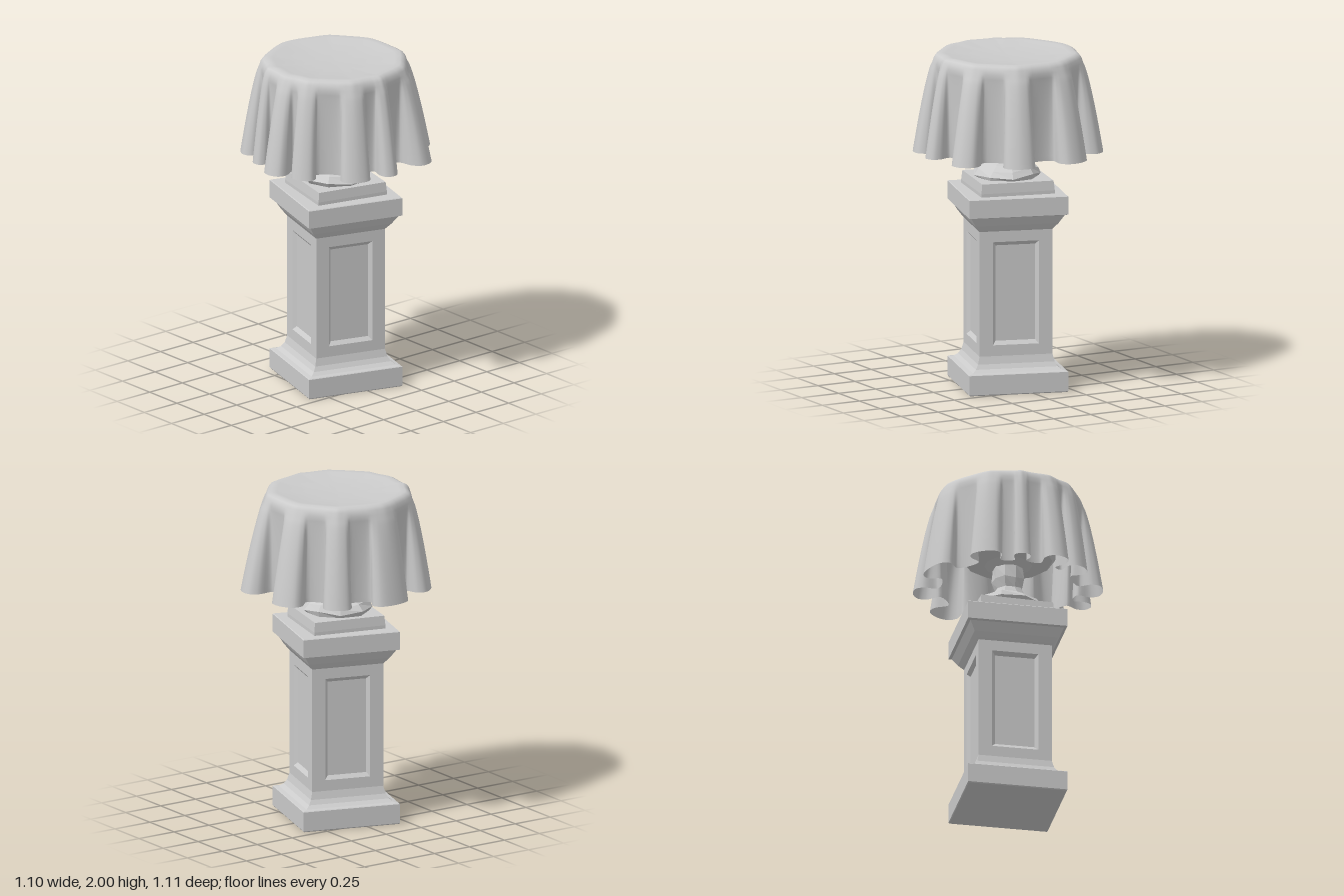
import * as THREE from 'three';

const flat = new THREE.MeshStandardMaterial({ color: 0xcccccc, flatShading: true });
const smooth = new THREE.MeshStandardMaterial({ color: 0xcccccc, side: THREE.DoubleSide });

function part(name, geometry, material, parent) {
  const mesh = new THREE.Mesh(geometry, material);
  mesh.name = name;
  parent.add(mesh);
  return mesh;
}

// Lathe through [radius, y] points from bottom to top
function lathe(profile, sides, start = 0) {
  return new THREE.LatheGeometry(profile.map(([r, y]) => new THREE.Vector2(r, y)), sides, start);
}

// Square moulding: profile of [half width, y]
function squareMoulding(profile) {
  return lathe(profile.map(([h, y]) => [h * Math.SQRT2, y]), 4, Math.PI / 4);
}

// One shaft side: nested rectangles [half width, bottom, top, z], joined and filled
function panelSide(rects) {
  const pos = [], index = [];
  for (const [w, y0, y1, z] of rects) pos.push(-w, y0, z, w, y0, z, w, y1, z, -w, y1, z);
  for (let r = 0; r < rects.length - 1; r++) {
    for (let k = 0; k < 4; k++) {
      const a = r * 4 + k, b = r * 4 + (k + 1) % 4;
      index.push(a, b, b + 4, a, b + 4, a + 4);
    }
  }
  const n = (rects.length - 1) * 4;
  index.push(n, n + 1, n + 2, n, n + 2, n + 3);
  const g = new THREE.BufferGeometry();
  g.setAttribute('position', new THREE.Float32BufferAttribute(pos, 3));
  g.setIndex(index);
  g.computeVertexNormals();
  return g;
}

// Rough stone foot: a coarse lathe with its vertices pushed about
function roughFoot() {
  const g = lathe([[0, 1.25], [0.185, 1.25], [0.205, 1.28], [0.175, 1.315], [0.13, 1.34],
    [0.1, 1.365], [0.08, 1.405], [0.1, 1.46], [0.09, 1.54]], 9);
  const p = g.attributes.position;
  for (let i = 0; i < p.count; i++) {
    const x = p.getX(i), y = p.getY(i), z = p.getZ(i);
    const k = 1 + 0.06 * Math.sin(x * 31 + y * 40) * Math.cos(z * 27);
    const lift = y > 1.26 ? 0.01 * Math.sin(x * 23 - z * 17) : 0;
    p.setXYZ(i, x * k, y + lift, z * k);
  }
  return g;
}

// Draped cloth: a many-cornered rim blended down into a hem of bulging folds
function drapedCloth() {
  // Folds: [angle in degrees from +x towards +z, tip radius, half width]
  const folds = [[0, 0.548, 0.055], [25.5, 0.56, 0.09], [62, 0.54, 0.075], [83.5, 0.56, 0.075],
    [108, 0.515, 0.05], [133.5, 0.555, 0.095], [175.5, 0.55, 0.125], [215, 0.565, 0.085],
    [250.5, 0.575, 0.1], [291.5, 0.585, 0.095], [327.5, 0.595, 0.085]];
  // Fold outline: [sideways, outward, share of the rim]
  const outline = [[-0.7, 0, -1], [-1, 0.52, -0.7], [-0.8, 0.85, -0.45], [0, 1, 0],
    [0.8, 0.85, 0.45], [1, 0.52, 0.7], [0.7, 0, 1]];
  const valley = 0.41;
  const hemPoints = [], rimPoints = [];
  for (const [deg, tip, w] of folds) {
    const a = THREE.MathUtils.degToRad(deg), c = Math.cos(a), s = Math.sin(a);
    for (const [side, out, share] of outline) {
      const r = valley + (tip - valley) * out, u = side * w;
      hemPoints.push(new THREE.Vector3(c * r - s * u, 0, s * r + c * u));
      const b = a + share * Math.atan(w / 0.45), rimR = 0.445 - 0.012 * Math.abs(share);
      rimPoints.push(new THREE.Vector3(Math.cos(b) * rimR, 0, Math.sin(b) * rimR));
    }
  }
  const hem = new THREE.CatmullRomCurve3(hemPoints, true, 'centripetal');
  const rim = new THREE.CatmullRomCurve3(rimPoints, true, 'centripetal');

  // Rows: [scale of rim, blend to hem, y], from the middle of the top to the hem
  const rows = [[0, 0, 1.977], [0.4, 0, 1.979], [0.68, 0, 1.988], [0.82, 0, 1.997], [0.9, 0, 2],
    [0.95, 0, 1.99], [0.98, 0, 1.972], [1, 0, 1.945]];
  const drops = 18;
  for (let i = 1; i <= drops; i++) {
    const v = i / drops;
    rows.push([1, Math.pow(v, 0.75), 1.945 - 0.535 * v]);
  }

  const count = folds.length * outline.length * 5;
  const pos = [], index = [];
  rows.forEach(([scale, blend, y], i) => {
    for (let j = 0; j < count; j++) {
      const p = rim.getPoint(j / count).multiplyScalar(scale).lerp(hem.getPoint(j / count), blend);
      pos.push(p.x, y, p.z);
      if (i === rows.length - 1) continue;
      const a = i * count + j, b = i * count + (j + 1) % count;
      index.push(a, b, a + count, b, b + count, a + count);
    }
  });
  const g = new THREE.BufferGeometry();
  g.setAttribute('position', new THREE.Float32BufferAttribute(pos, 3));
  g.setIndex(index);
  g.computeVertexNormals();
  return g;
}

export function createModel() {
  const model = new THREE.Group();
  model.name = 'drapedPedestal';

  // Pedestal, turned a little on its axis
  const pedestal = new THREE.Group();
  pedestal.name = 'pedestal';
  pedestal.rotation.y = -0.295;
  pedestal.position.set(0.003, 0, -0.009);
  model.add(pedestal);

  part('base', squareMoulding([[0, 0], [0.293, 0], [0.298, 0.006], [0.298, 0.122], [0.294, 0.126],
    [0.27, 0.13], [0.247, 0.148], [0.231, 0.175], [0.222, 0.21], [0.2195, 0.22]]), flat, pedestal);

  const shaft = new THREE.Group();
  shaft.name = 'shaft';
  pedestal.add(shaft);
  const side = panelSide([[0.2195, 0.22, 0.97, 0.2195], [0.139, 0.285, 0.905, 0.2195],
    [0.119, 0.308, 0.882, 0.2]]);
  for (let i = 0; i < 4; i++) part('panelSide', side, flat, shaft).rotation.y = i * Math.PI / 2;

  part('capital', squareMoulding([[0.2195, 0.97], [0.229, 0.982], [0.25, 1.01], [0.281, 1.063],
    [0.298, 1.068], [0.298, 1.176], [0.294, 1.18], [0, 1.18]]), flat, pedestal);

  // Stepped plinth on top, turned slightly differently
  const plinth = part('plinth', squareMoulding([[0.224, 1.18], [0.224, 1.2], [0.218, 1.257],
    [0, 1.257]]), flat, model);
  plinth.rotation.y = -0.24;
  plinth.position.set(0.003, 0, -0.009);

  part('foot', roughFoot(), flat, model);

  // Cup carrying the cloth from inside
  part('cup', lathe([[0.09, 1.53], [0.14, 1.56], [0.26, 1.59], [0.31, 1.66], [0.34, 1.95],
    [0, 1.965]], 12), flat, model);

  part('cloth', drapedCloth(), smooth, model);
  return model;
}
